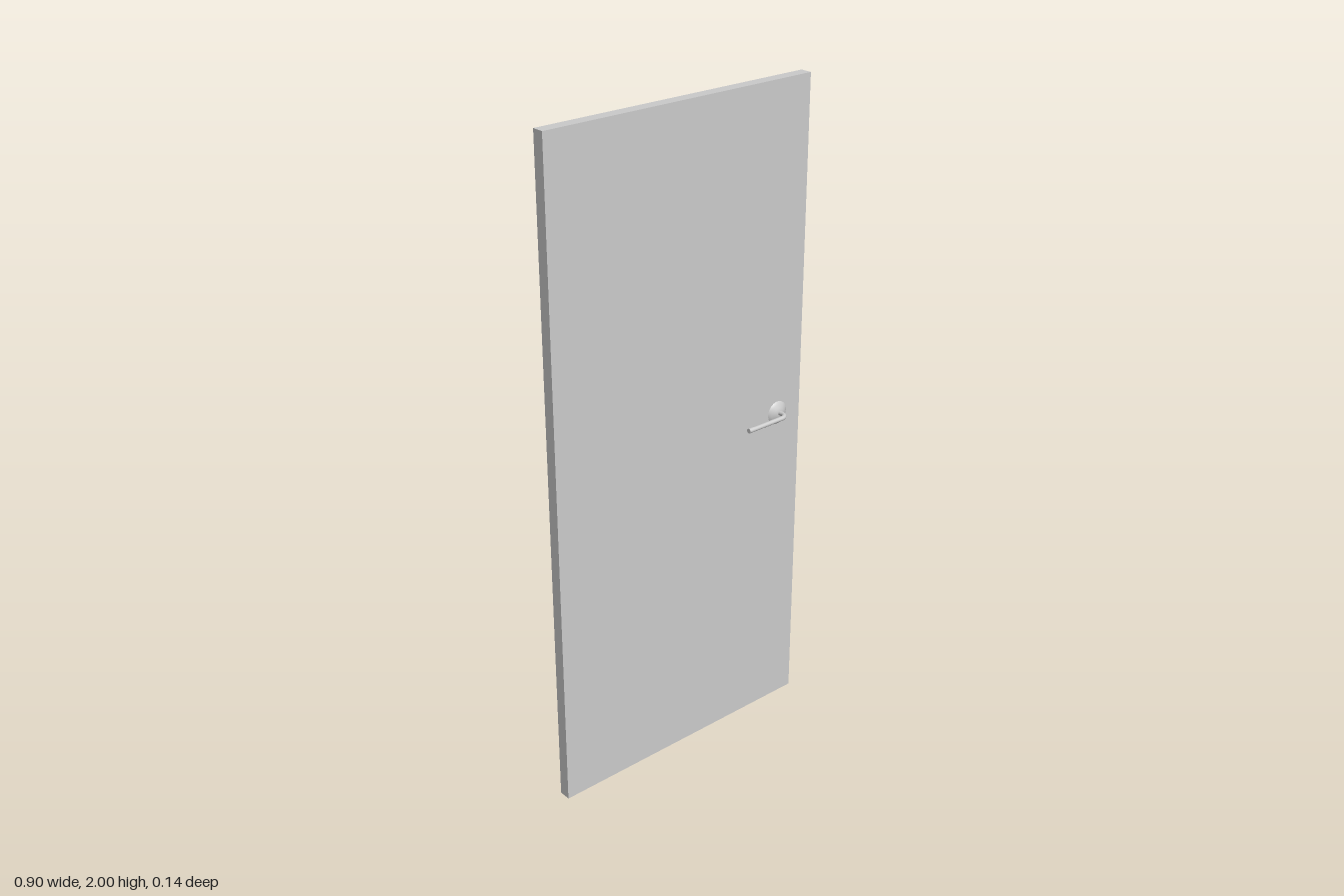
import * as THREE from 'three';

const grey = new THREE.MeshStandardMaterial({ color: 0xcccccc });

function addMesh(parent, name, geometry) {
  const mesh = new THREE.Mesh(geometry, grey);
  mesh.name = name;
  parent.add(mesh);
  return mesh;
}

// Handle set around its spindle axis (+z points away from the door)
function makeHandle(name) {
  const handle = new THREE.Group();
  handle.name = name;

  // Shallow domed rose against the door face
  const profile = [[0.037, 0.014], [0.036, 0.018], [0.028, 0.023], [0.018, 0.028], [0.009, 0.031], [0, 0.031]]
    .map(([r, h]) => new THREE.Vector2(r, h));
  const rose = addMesh(handle, 'rose', new THREE.LatheGeometry(profile, 32));
  rose.rotation.x = Math.PI / 2;

  // Bent lever: post, rounded elbow, straight grip
  const path = new THREE.CurvePath();
  const v = (x, y, z) => new THREE.Vector3(x, y, z);
  const a = v(0, 0.003, 0.02), b = v(0, 0.003, 0.039), c = v(-0.022, 0.003, 0.061), d = v(-0.151, 0.003, 0.061);
  path.add(new THREE.LineCurve3(a, b));
  path.add(new THREE.CubicBezierCurve3(b, v(0, 0.003, 0.051), v(-0.01, 0.003, 0.061), c));
  path.add(new THREE.LineCurve3(c, d));
  addMesh(handle, 'lever', new THREE.TubeGeometry(path, 64, 0.007, 16));

  // Slightly thicker end cap
  const tip = addMesh(handle, 'leverTip', new THREE.CylinderGeometry(0.0075, 0.0075, 0.02, 16));
  tip.rotation.z = Math.PI / 2;
  tip.position.set(-0.142, 0.003, 0.0605);
  return handle;
}

export function createModel() {
  const door = new THREE.Group();
  door.name = 'door';

  // Plain slab
  addMesh(door, 'doorLeaf', new THREE.BoxGeometry(0.896, 2, 0.036)).position.y = 1;

  // One handle per side; the rear one is turned over about x
  for (const [name, turn] of [['frontHandle', 0], ['backHandle', Math.PI]]) {
    const handle = makeHandle(name);
    handle.position.set(0.359, 1.008, 0);
    handle.rotation.x = turn;
    door.add(handle);
  }
  return door;
}
